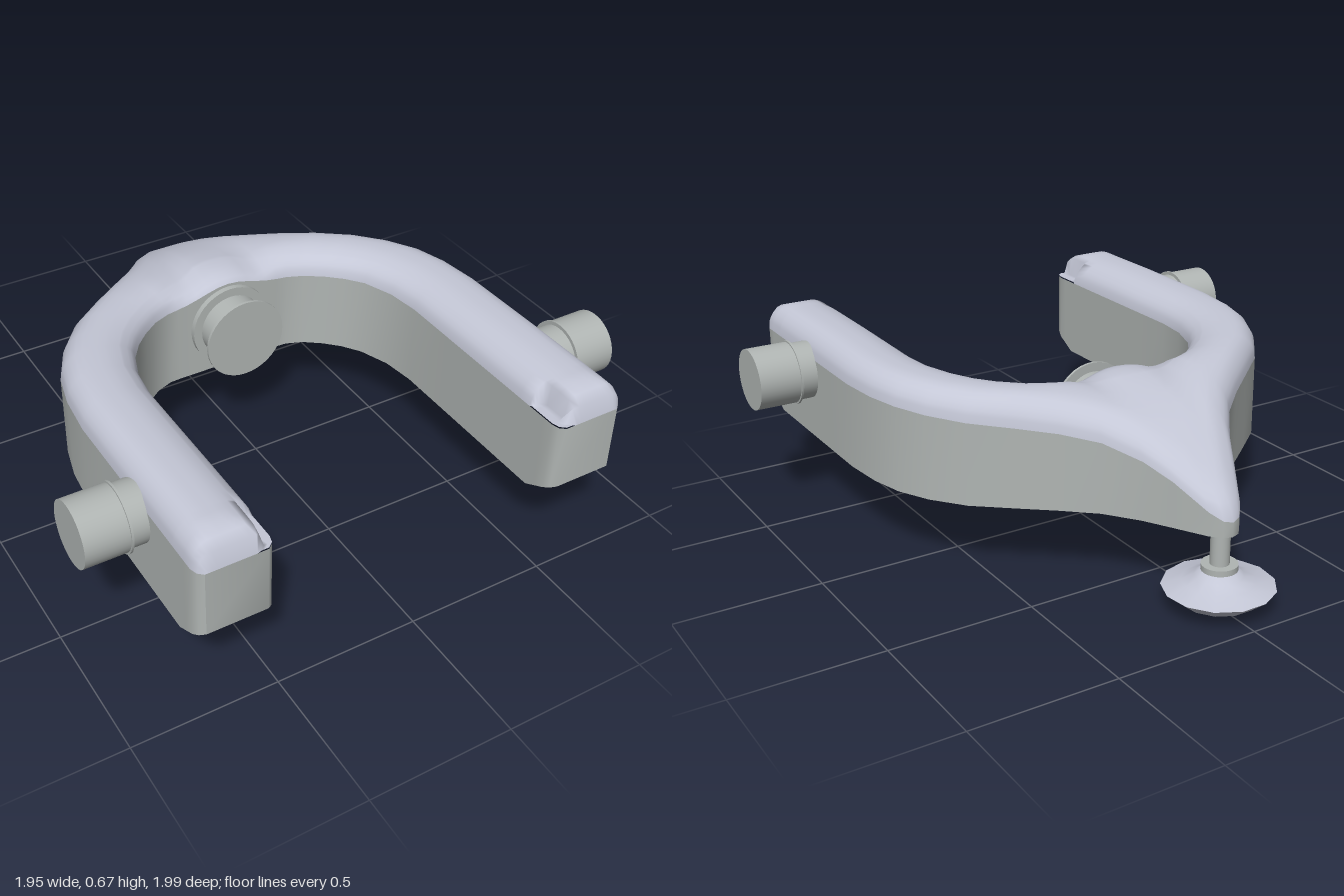
import * as THREE from 'three';
import { toCreasedNormals } from 'three/addons/utils/BufferGeometryUtils.js';

// stations along one arm, tip to tail: inner x, inner z, outer x, outer z
const ARM = [
  [0.535, 1, 0.74, 1], [0.517, 0.985, 0.757, 0.985],
  ...[0.96, 0.92, 0.88, 0.86, 0.85, 0.8, 0.6, 0.4].map((z) => [0.51, z, 0.765, z]),
  [0.51, 0.22, 0.765, 0.25], [0.495, 0.1, 0.75, 0.1], [0.455, -0.01, 0.72, -0.02],
  [0.41, -0.075, 0.665, -0.13], [0.36, -0.125, 0.58, -0.24], [0.3, -0.17, 0.46, -0.34],
  [0.24, -0.193, 0.35, -0.43], [0.2, -0.195, 0.25, -0.52], [0.16, -0.195, 0.17, -0.63],
  [0.12, -0.195, 0.12, -0.72], [0.08, -0.195, 0.06, -0.83], [0.04, -0.195, 0.03, -0.865],
  [0, -0.195, 0, -0.875],
];
const STATIONS = [...ARM, ...ARM.slice(0, -1).reverse().map(([a, b, c, d]) => [-a, b, -c, d])];
const INNER = STATIONS.map((s) => [s[0], s[1]]);
const OUTER = STATIONS.map((s) => [s[2], s[3]]);
const ACROSS = [0, 0.02, 0.06, 0.11, 0.18, 0.21, 0.3, 0.4, 0.5, 0.6, 0.7, 0.79, 0.86, 0.92, 0.96, 0.985, 1];

// heights by z: top of the upright wall, and crown of the rounded cover
const WALL = [[-0.875, 0.32], [-0.8, 0.37], [-0.7, 0.44], [-0.6, 0.485], [-0.5, 0.52], [-0.4, 0.54], [-0.2, 0.56], [0, 0.57]];
const CROWN = [[-0.875, 0.36], [-0.85, 0.39], [-0.8, 0.42], [-0.7, 0.495], [-0.6, 0.555], [-0.5, 0.597], [-0.4, 0.627], [-0.3, 0.645], [0, 0.658], [0.6, 0.667]];

function lookup(table, z) {
  if (z <= table[0][0]) return table[0][1];
  for (let i = 1; i < table.length; i++) {
    const [z0, y0] = table[i - 1], [z1, y1] = table[i];
    if (z <= z1) return y0 + (y1 - y0) * (z - z0) / (z1 - z0);
  }
  return table[table.length - 1][1];
}

function distance(path, x, z) {
  let best = Infinity;
  for (let i = 1; i < path.length; i++) {
    const [ax, az] = path[i - 1], dx = path[i][0] - ax, dz = path[i][1] - az;
    const t = THREE.MathUtils.clamp(((x - ax) * dx + (z - az) * dz) / (dx * dx + dz * dz), 0, 1);
    best = Math.min(best, Math.hypot(x - ax - t * dx, z - az - t * dz));
  }
  return best;
}

const round = (d, r) => Math.sqrt(1 - (1 - Math.min(Math.max(d, 0) / r, 1)) ** 2);

// the wall rises in a small arch over the centre connector
function wallTop(x, z) {
  const arch = 0.05 * Math.exp(-((x / 0.14) ** 2)) * THREE.MathUtils.smoothstep(z, -0.5, -0.2);
  return lookup(WALL, z) + arch;
}

function coverTop(x, z) {
  const edge = wallTop(x, z);
  if (z > 0.855 && Math.abs(x) < 0.56) return edge + 0.005; // notch at the arm tip
  const dip = z < 0 ? 0.03 * Math.exp(-(((Math.abs(x) - 0.14) / 0.06) ** 2)) * THREE.MathUtils.smoothstep(z, -0.5, -0.2) : 0;
  const crown = Math.max(lookup(CROWN, z) - dip, edge);
  const f = Math.min(round(distance(INNER, x, z), 0.13), round(distance(OUTER, x, z), 0.085), round(1 - z, 0.08));
  return edge + (crown - edge) * f;
}

const floorY = (z) => 0.27 + Math.max(0, z - 0.88) * 0.54;

// skin over rows of points
function skin(rows) {
  const n = rows[0].length, index = [];
  for (let i = 0; i < rows.length - 1; i++) {
    for (let j = 0; j < n - 1; j++) {
      const a = i * n + j, b = a + n;
      index.push(a, a + 1, b, a + 1, b + 1, b);
    }
  }
  const g = new THREE.BufferGeometry();
  g.setAttribute('position', new THREE.Float32BufferAttribute(rows.flat(2), 3));
  g.setIndex(index);
  g.computeVertexNormals();
  return g;
}

export function createModel() {
  const model = new THREE.Group();
  const grey = new THREE.MeshStandardMaterial({ color: 0xb0b5b3 });
  grey.name = 'warm grey';
  const pale = new THREE.MeshStandardMaterial({ color: 0xc4c7d6 });
  pale.name = 'pale lavender';

  const add = (name, geometry, material, parent = model) => {
    const mesh = new THREE.Mesh(geometry, material);
    mesh.name = name;
    parent.add(mesh);
    return mesh;
  };

  // rounded cover over the forked frame
  add('frameCover', skin(STATIONS.map(([ix, iz, ox, oz]) => ACROSS.map((v) => {
    const x = ix + (ox - ix) * v, z = iz + (oz - iz) * v;
    return [x, coverTop(x, z), z];
  }))), pale);

  // upright walls around the whole outline
  const loop = [...INNER, ...[...OUTER].reverse(), INNER[0]];
  const walls = skin(loop.map(([x, z]) => [[x, floorY(z), z], [x, wallTop(x, z), z]]));
  add('frameWalls', toCreasedNormals(walls, 0.7), grey);

  // underside with bevelled tips
  const under = skin(STATIONS.map(([ix, iz, ox, oz]) => [[ox, floorY(oz), oz], [ix, floorY(iz), iz]]));
  add('frameUnderside', toCreasedNormals(under, 0.3), grey);

  // cylinder between two points on a horizontal axis
  const rod = (name, radius, axis, from, to, parent) => {
    const g = new THREE.CylinderGeometry(radius, radius, Math.abs(to - from), 40);
    if (axis === 'x') g.rotateZ(Math.PI / 2);
    else g.rotateX(Math.PI / 2);
    add(name, g, grey, parent).position[axis] = (from + to) / 2;
  };

  // side pegs
  for (const side of [1, -1]) {
    const peg = new THREE.Group();
    peg.name = side > 0 ? 'leftPeg' : 'rightPeg';
    peg.position.set(0, 0.515, 0.61);
    rod('pegNeck', 0.102, 'x', side * 0.74, side * 0.83, peg);
    rod('pegRing', 0.115, 'x', side * 0.822, side * 0.829, peg);
    rod('pegBody', 0.109, 'x', side * 0.829, side * 0.975, peg);
    model.add(peg);
  }

  // centre connector
  const connector = new THREE.Group();
  connector.name = 'centreConnector';
  connector.position.y = 0.45;
  rod('connectorBase', 0.15, 'z', -0.2, -0.175, connector);
  rod('connectorNeck', 0.118, 'z', -0.18, -0.075, connector);
  rod('connectorFace', 0.15, 'z', -0.08, -0.07, connector);
  model.add(connector);

  // foot under the tail
  const foot = new THREE.Group();
  foot.name = 'foot';
  foot.position.z = -0.815;
  const stem = new THREE.CylinderGeometry(0.032, 0.032, 0.17, 24);
  add('footStem', stem, grey, foot).position.y = 0.22;
  const collar = new THREE.CylinderGeometry(0.06, 0.06, 0.02, 24);
  add('footCollar', collar, grey, foot).position.y = 0.146;
  const pad = [[0, 0], [0.07, 0.008], [0.13, 0.036], [0.185, 0.08], [0.12, 0.098], [0.08, 0.117], [0.055, 0.138], [0, 0.138]];
  const padShape = new THREE.LatheGeometry(pad.map(([r, y]) => new THREE.Vector2(r, y)), 13);
  add('footPad', toCreasedNormals(padShape, 0.75), pale, foot);
  model.add(foot);

  return model;
}
